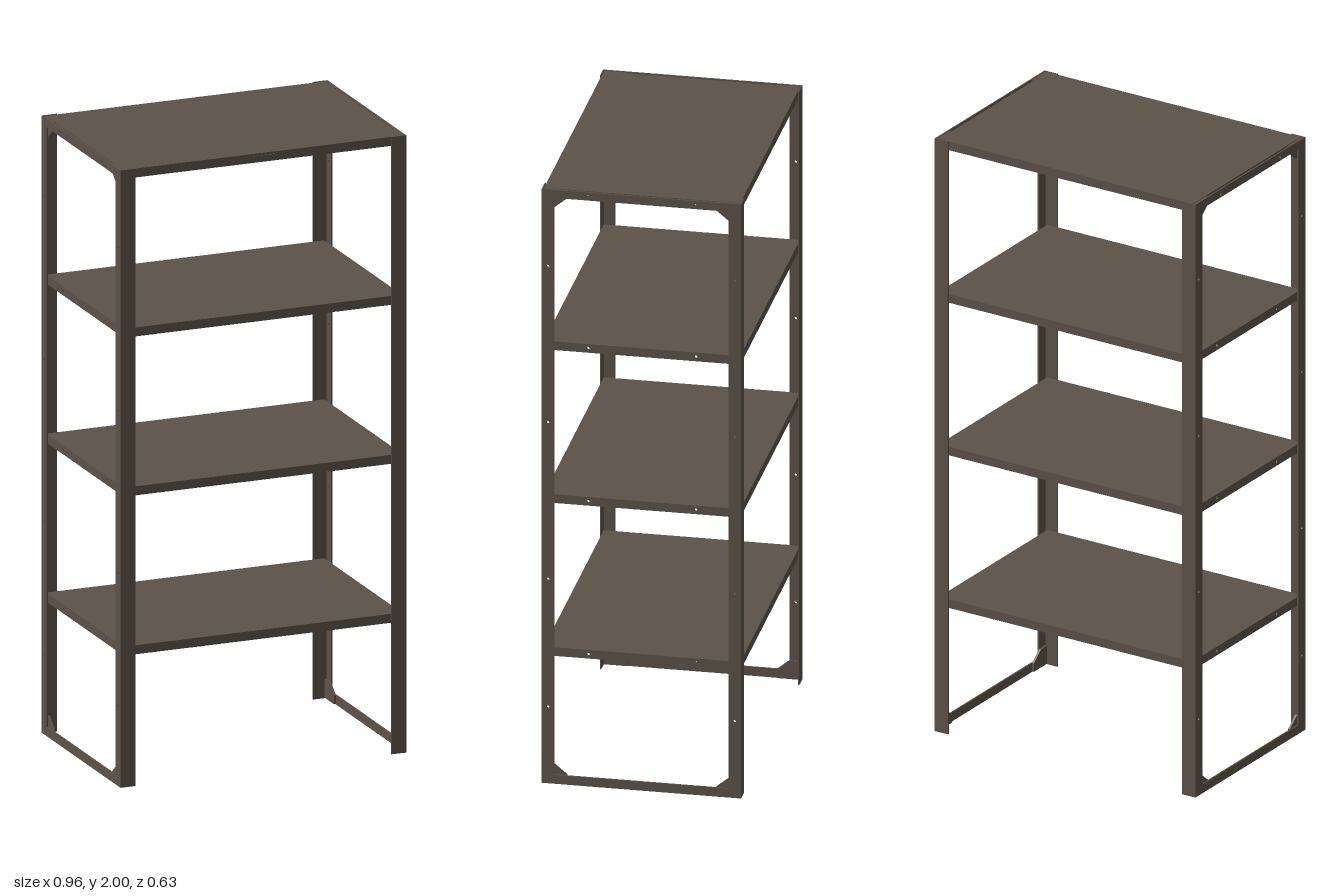
import * as THREE from 'three';

const H = 2, HX = 0.48, HZ = 0.315, T = 0.004;
const steel = new THREE.MeshStandardMaterial({ color: 0x5c5349 });
steel.name = 'brown steel';

function add(parent, name, geometry, x = 0, y = 0, z = 0) {
  const mesh = new THREE.Mesh(geometry, steel);
  mesh.name = name;
  mesh.position.set(x, y, z);
  parent.add(mesh);
  return mesh;
}

function outline(points, Type = THREE.Shape) {
  return new Type(points.map(([a, b]) => new THREE.Vector2(a, b)));
}

const rect = (w, y0, y1) => [[-w, y0], [w, y0], [w, y1], [-w, y1]];

function drill(shape, z, y) {
  const hole = new THREE.Path();
  hole.absarc(z, y, 0.0045, 0, Math.PI * 2, true);
  shape.holes.push(hole);
}

// Sheet cut in the z-y plane, centred on x = 0
function sideSheet(shape, thickness) {
  const g = new THREE.ExtrudeGeometry(shape, { depth: thickness, bevelEnabled: false, curveSegments: 5 });
  g.translate(0, 0, -thickness / 2);
  return g.rotateY(-Math.PI / 2);
}

// Upright end frame: side sheet, front and back flanges, corner gussets
function endFrame(side) {
  const frame = new THREE.Group();
  frame.name = side > 0 ? 'leftEndFrame' : 'rightEndFrame';
  const sheet = outline(rect(HZ - T, 0, H));
  sheet.holes.push(outline(rect(0.275, 0.03, 1.973), THREE.Path));
  for (const s of [-1, 1]) {
    for (const y of [0.258, 0.688, 1.215, 1.742]) drill(sheet, s * 0.295, y);
    drill(sheet, s * 0.17, 1.986);
  }
  add(frame, 'sideSheet', sideSheet(sheet, 0.005), side * (HX - 0.0025));

  for (const s of [-1, 1]) {
    add(frame, 'postFlange', new THREE.BoxGeometry(0.05, H, T), side * (HX - 0.025), H / 2, s * (HZ - T / 2));
    for (const top of [false, true]) {
      const rail = top ? 0.027 : 0.03;
      const pts = [[0.31, 0.002], [0.235, 0.002], [0.235, rail], [0.275, rail + 0.033], [0.31, rail + 0.033]]
        .map(([z, y]) => [s * z, top ? H - y : y]);
      add(frame, 'cornerGusset', sideSheet(outline(pts), 0.007), side * 0.4715);
    }
  }
  return frame;
}

// Shelf tray, open underneath, with turned-down lips
function shelf(top) {
  const tray = new THREE.Group();
  tray.name = 'shelf';
  const w = 0.467, d = 0.31, h = 0.029;
  add(tray, 'shelfTop', new THREE.BoxGeometry(2 * w, T, 2 * d), 0, top - T / 2, 0);
  for (const s of [-1, 1]) {
    add(tray, 'longLip', new THREE.BoxGeometry(2 * w, h - T, T), 0, top - (h + T) / 2, s * (d - T / 2));
    const lip = outline(rect(d - T, top - h, top - T));
    drill(lip, -0.17, top - 0.014);
    drill(lip, 0.17, top - 0.014);
    add(tray, 'endLip', sideSheet(lip, T), s * (w - T / 2));
  }
  return tray;
}

export function createModel() {
  const model = new THREE.Group();
  model.name = 'shelvingUnit';
  for (const side of [-1, 1]) model.add(endFrame(side));
  for (const top of [0.454, 0.969, 1.484, 1.999]) model.add(shelf(top));
  // Small blank plate on the front of the top shelf
  add(model, 'frontPlate', new THREE.BoxGeometry(0.08, 0.014, 0.003), 0, 1.985, 0.3115);
  return model;
}
